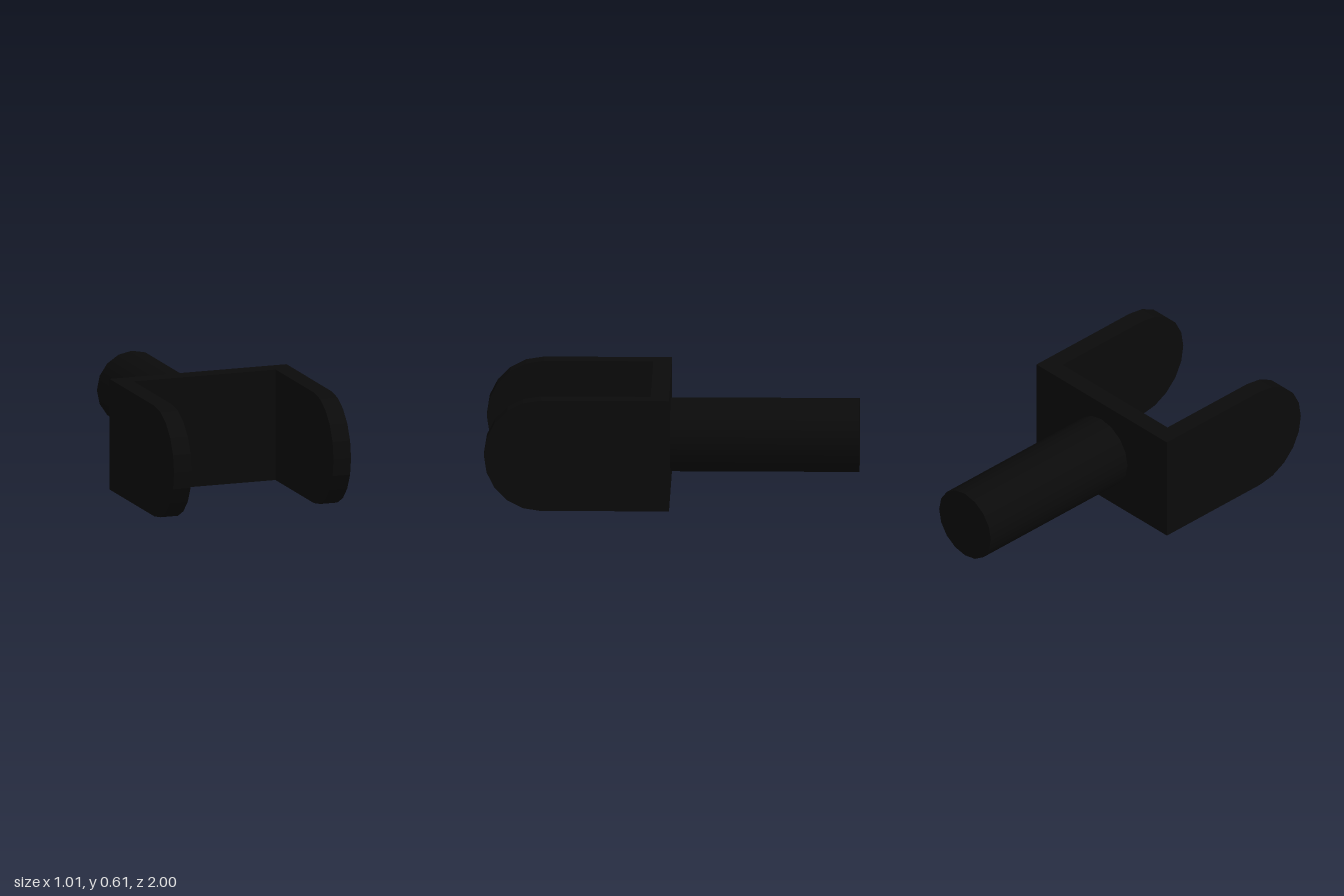
import * as THREE from 'three';

export function createModel() {
  const group = new THREE.Group();
  const black = new THREE.MeshStandardMaterial({ color: 0x0a0a0a });
  black.name = 'black';

  const R = 0.303;      // half height of the fork
  const HALF = 0.505;   // half width of the fork
  const T = 0.1;        // plate thickness
  const BACK = 0.01;    // rear face of the fork

  const add = (name, geometry, x, y, z) => {
    const mesh = new THREE.Mesh(geometry, black);
    mesh.name = name;
    mesh.position.set(x, y, z);
    group.add(mesh);
  };

  // Round-ended arm, drawn in z and y, then turned so its thickness runs along x
  const outline = new THREE.Shape();
  outline.moveTo(BACK, -R);
  outline.lineTo(1 - R, -R);
  outline.absarc(1 - R, 0, R, -Math.PI / 2, Math.PI / 2, false);
  outline.lineTo(BACK, R);
  outline.closePath();
  const arm = new THREE.ExtrudeGeometry(outline, { depth: T, bevelEnabled: false, curveSegments: 5 });
  arm.rotateY(-Math.PI / 2);
  add('leftArm', arm, HALF, R, 0);
  add('rightArm', arm, -HALF + T, R, 0);

  // Plate joining the two arms
  add('crossPlate', new THREE.BoxGeometry(2 * (HALF - T), 2 * R, T), 0, R, BACK + T / 2);

  // Round rod behind the plate
  const rod = new THREE.CylinderGeometry(0.2, 0.2, 1 + BACK, 16);
  rod.rotateX(Math.PI / 2);
  add('rod', rod, 0, R, (BACK - 1) / 2);

  return group;
}
